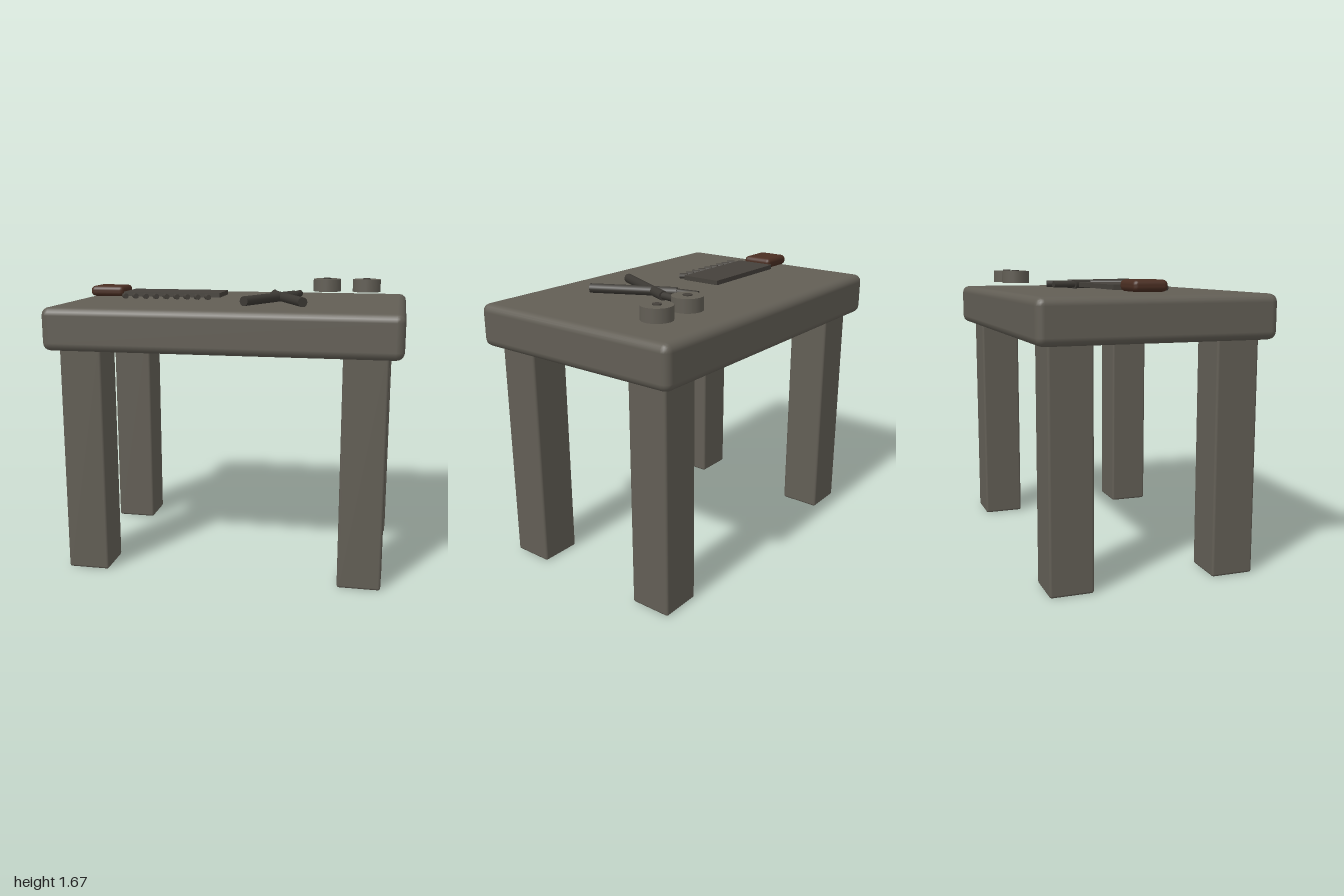
import * as THREE from 'three';
import { RoundedBoxGeometry } from 'three/addons/geometries/RoundedBoxGeometry.js';

const mat = (name, color) => {
  const m = new THREE.MeshStandardMaterial({ color });
  m.name = name;
  return m;
};

export function createModel() {
  const group = new THREE.Group();
  const stone = mat('grey stone', 0x625e55);
  const iron = mat('dark iron', 0x45413b);
  const tool = mat('tool steel', 0x3b3833);
  const leather = mat('brown grip', 0x4a2e22);

  const add = (name, geometry, material, x, y, z, parent = group) => {
    const mesh = new THREE.Mesh(geometry, material);
    mesh.name = name;
    mesh.position.set(x, y, z);
    parent.add(mesh);
    return mesh;
  };

  // Round bar lying between two points of the table plane
  const bar = (name, x1, z1, x2, z2, y, r, sides, material, parent) => {
    const a = new THREE.Vector3(x1, y, z1), b = new THREE.Vector3(x2, y, z2);
    const d = b.clone().sub(a);
    const mesh = add(name, new THREE.CylinderGeometry(r, r, d.length(), sides), material,
      (x1 + x2) / 2, y, (z1 + z2) / 2, parent);
    mesh.quaternion.setFromUnitVectors(new THREE.Vector3(0, 1, 0), d.normalize());
  };

  // Table
  add('tableTop', new RoundedBoxGeometry(2, 0.245, 1.33, 2, 0.045), stone, 0, 1.4375, 0);
  for (const sx of [-1, 1]) for (const sz of [-1, 1]) {
    add('leg', new RoundedBoxGeometry(0.245, 1.34, 0.245, 2, 0.014), stone, sx * 0.8, 0.67, sz * 0.467);
  }

  // Saw: grip, blade and a row of slanted teeth
  const saw = new THREE.Group();
  saw.name = 'saw';
  group.add(saw);
  add('sawGrip', new RoundedBoxGeometry(0.213, 0.062, 0.193, 2, 0.026), leather, -0.818, 1.604, -0.038, saw);
  add('sawBlade', new THREE.BoxGeometry(0.6, 0.027, 0.245), iron, -0.4, 1.592, -0.038, saw);
  for (let i = 0; i < 9; i++) {
    const x = -0.673 + i * 0.0638;
    bar('sawTooth', x - 0.012, 0.117, x + 0.012, 0.159, 1.586, 0.016, 8, iron, saw);
  }

  // Tongs: crossed handles with slimmer jaws
  const tongs = new THREE.Group();
  tongs.name = 'tongs';
  group.add(tongs);
  for (const s of [-1, 1]) {
    const cx = 0.265;
    bar('tongHandle', cx - s * 0.167, 0.363, cx + s * 0.062, -0.097, 1.586, 0.028, 12, tool, tongs);
    bar('tongJaw', cx + s * 0.056, -0.09, cx + s * 0.079, -0.234, 1.586, 0.021, 12, tool, tongs);
  }

  // Two round weights with centre pins
  for (const x of [0.5, 0.75]) {
    add('weight', new THREE.CylinderGeometry(0.0875, 0.0875, 0.077, 16), stone, x, 1.6285, -0.4);
    add('weightPin', new THREE.CylinderGeometry(0.025, 0.025, 0.08, 12), iron, x, 1.633, -0.4);
  }
  return group;
}
